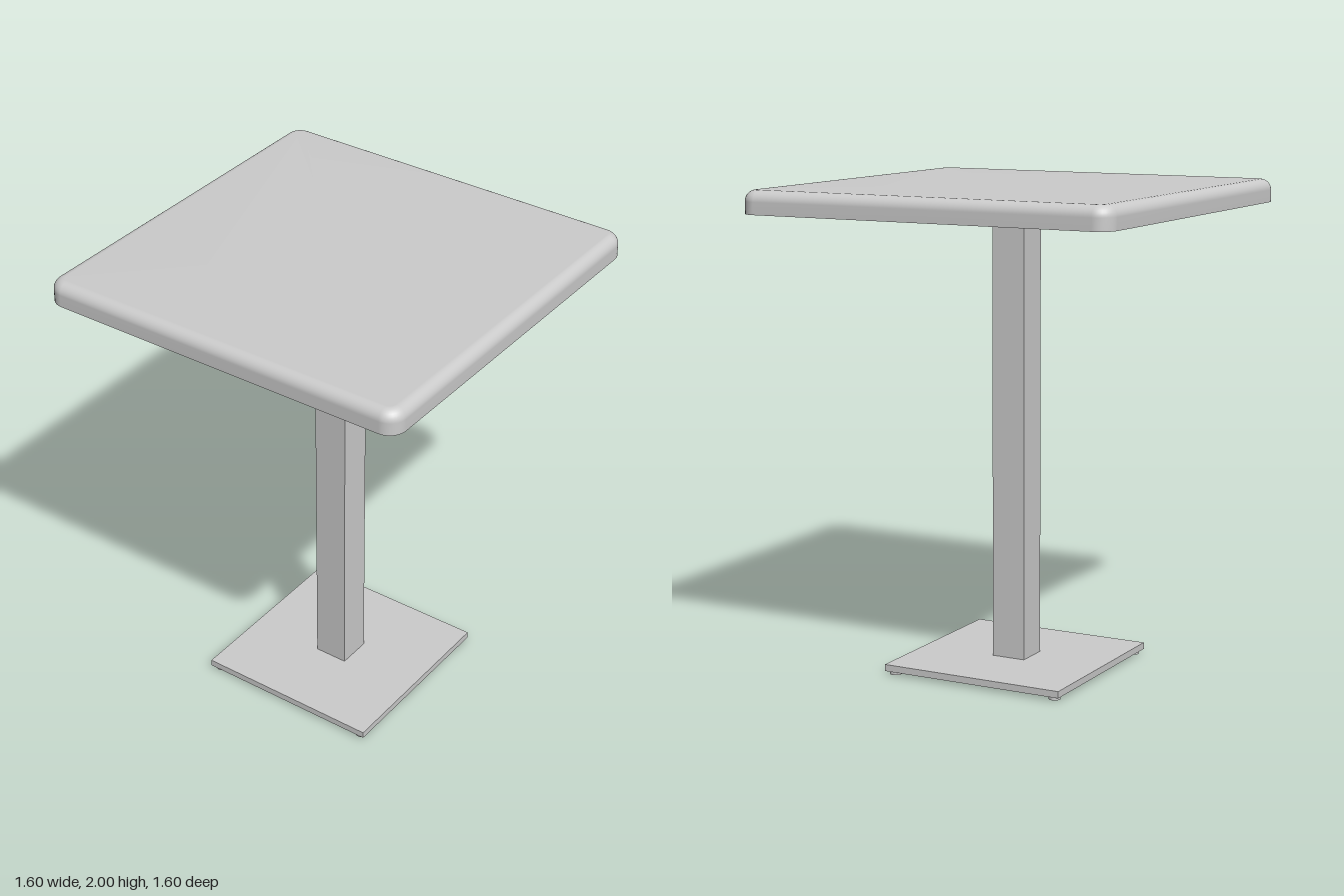
import * as THREE from 'three';

const material = new THREE.MeshStandardMaterial({ color: 0xcccccc });

function addMesh(parent, name, geometry, x = 0, y = 0, z = 0) {
  const mesh = new THREE.Mesh(geometry, material);
  mesh.name = name;
  mesh.position.set(x, y, z);
  parent.add(mesh);
}

// Square block centred on the axis, from y0 to y1
function addBlock(parent, name, width, y0, y1) {
  addMesh(parent, name, new THREE.BoxGeometry(width, y1 - y0, width), 0, (y0 + y1) / 2, 0);
}

// Outline of a square with rounded corners, as [x, z] pairs
function roundedSquare(half, radius, steps = 8) {
  const points = [];
  for (let corner = 0; corner < 4; corner++) {
    const mid = (corner + 0.5) * Math.PI / 2;
    const cx = Math.sign(Math.cos(mid)) * (half - radius);
    const cz = Math.sign(Math.sin(mid)) * (half - radius);
    for (let i = 0; i <= steps; i++) {
      const a = (corner + i / steps) * Math.PI / 2;
      points.push([cx + radius * Math.cos(a), cz + radius * Math.sin(a)]);
    }
  }
  return points;
}

// Slab with rounded corners, a rounded upper rim and a sharp lower edge
function slabGeometry(half, corner, rim, y0, y1) {
  const rings = [[0, y0]];
  for (let i = 0; i <= 8; i++) {
    const a = i / 8 * Math.PI / 2;
    rings.push([rim * (1 - Math.cos(a)), y1 - rim + rim * Math.sin(a)]);
  }
  const positions = [], indices = [];
  let count = 0;
  for (const [inset, y] of rings) {
    const outline = roundedSquare(half - inset, corner - inset);
    count = outline.length;
    for (const [x, z] of outline) positions.push(x, y, z);
  }
  for (let r = 0; r < rings.length - 1; r++) {
    for (let i = 0; i < count; i++) {
      const a = r * count + i, b = r * count + (i + 1) % count;
      indices.push(a, a + count, b, b, a + count, b + count);
    }
  }
  // Top face shares the last ring, so the rim blends into it
  const last = (rings.length - 1) * count, centre = positions.length / 3;
  positions.push(0, y1, 0);
  for (let i = 0; i < count; i++) indices.push(centre, last + (i + 1) % count, last + i);

  const geometry = new THREE.BufferGeometry();
  geometry.setAttribute('position', new THREE.Float32BufferAttribute(positions, 3));
  geometry.setIndex(indices);
  geometry.computeVertexNormals();
  return geometry;
}

export function createModel() {
  const table = new THREE.Group();
  table.name = 'pedestalTable';

  // Table top with its flat underside
  const top = new THREE.Group();
  top.name = 'tableTop';
  table.add(top);
  addMesh(top, 'tableTopShell', slabGeometry(0.8, 0.07, 0.045, 1.905, 2));
  const outline = roundedSquare(0.8, 0.07).map(([x, z]) => new THREE.Vector2(x, z));
  const underside = new THREE.ShapeGeometry(new THREE.Shape(outline)).rotateX(Math.PI / 2);
  addMesh(top, 'tableTopUnderside', underside, 0, 1.905, 0);

  // Mounting plate, column and base
  addBlock(table, 'mountingPlate', 0.65, 1.89, 1.905);
  addBlock(table, 'column', 0.145, 0.043, 1.89);
  addBlock(table, 'basePlate', 0.8, 0.015, 0.043);

  // Small round feet under the base corners
  const foot = new THREE.CylinderGeometry(0.024, 0.024, 0.015, 24);
  for (const x of [-0.367, 0.367]) {
    for (const z of [-0.367, 0.367]) addMesh(table, 'foot', foot, x, 0.0075, z);
  }
  return table;
}
